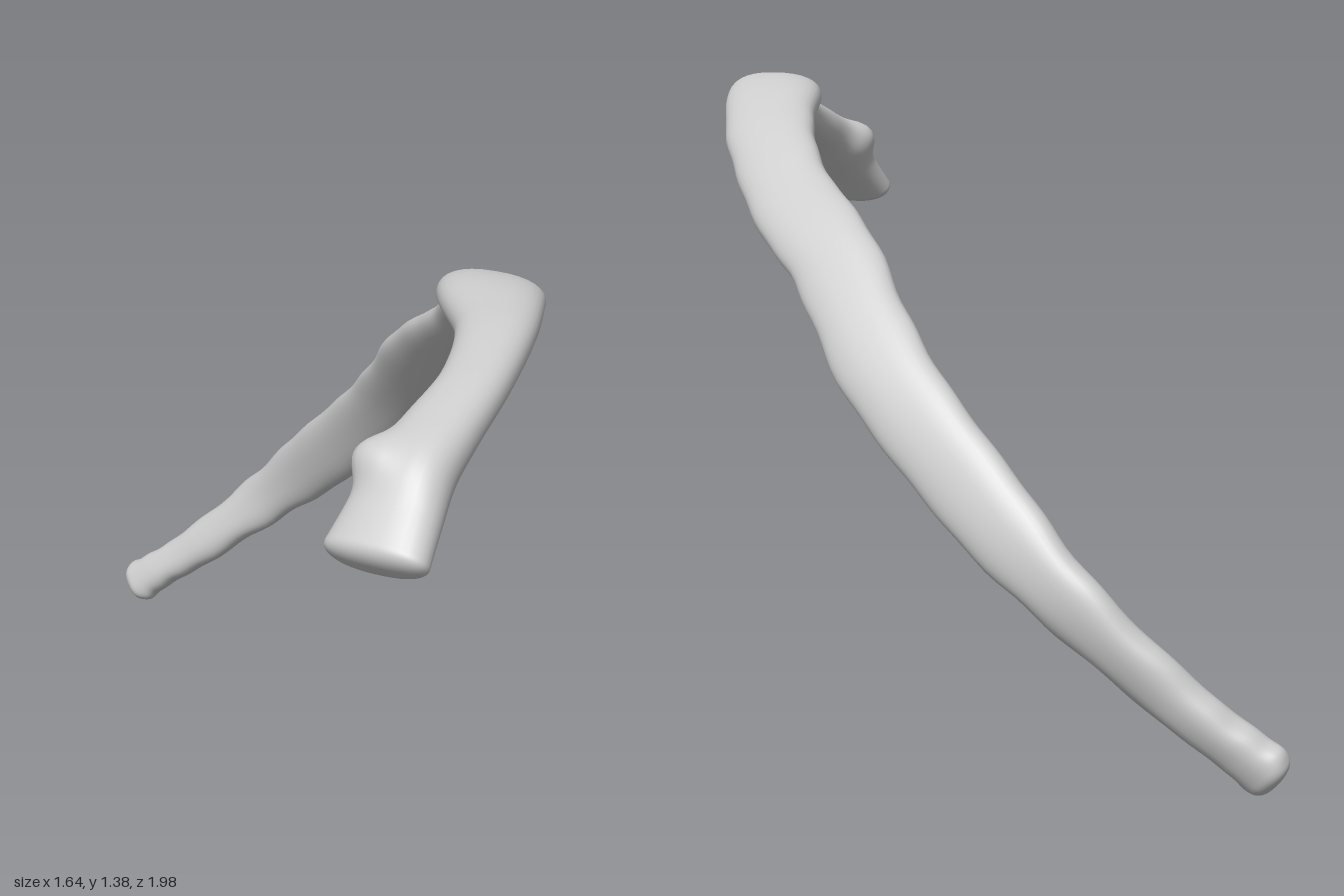
import * as THREE from 'three';

// Stations along the bone: centre x, y, z, then width and thickness
const stations = [
  [-0.81, 1.03, 0.885, 0.235, 0.1],
  [-0.73, 1.108, 0.88, 0.2, 0.115],
  [-0.66, 1.173, 0.872, 0.18, 0.135],
  [-0.56, 1.225, 0.868, 0.16, 0.115],
  [-0.4, 1.283, 0.847, 0.145, 0.1],
  [-0.2, 1.328, 0.77, 0.17, 0.105],
  [0, 1.333, 0.635, 0.235, 0.112],
  [0.2, 1.255, 0.515, 0.21, 0.1],
  [0.36, 1.13, 0.36, 0.205, 0.092],
  [0.49, 1.0, 0.16, 0.205, 0.088],
  [0.64, 0.8, -0.05, 0.2, 0.086],
  [0.728, 0.6, -0.29, 0.19, 0.086],
  [0.767, 0.4, -0.53, 0.15, 0.086],
  [0.715, 0.2, -0.76, 0.118, 0.09],
  [0.678, 0.1, -0.89, 0.115, 0.09],
  [0.657, 0.042, -0.962, 0.125, 0.088],
];

const curveOf = (points) => new THREE.CatmullRomCurve3(points, false, 'catmullrom', 0.5);
const path = curveOf(stations.map((s) => new THREE.Vector3(s[0], s[1], s[2])));
const sizes = curveOf(stations.map((s) => new THREE.Vector3(s[3], s[4], 0)));

const RINGS = 220;
const SIDES = 32;
const power = (v, e) => Math.sign(v) * Math.abs(v) ** e;

// Flat oval section swept along the path, its broad side following the z axis
function sweepBone() {
  const positions = [];
  const indices = [];
  const zAxis = new THREE.Vector3(0, 0, 1);
  const head = path.getPoint(0);
  const tip = path.getPoint(1);
  for (let j = 0; j <= RINGS; j++) {
    const u = 0.5 - 0.5 * Math.cos((Math.PI * j) / RINGS);
    const centre = path.getPoint(u);
    const size = sizes.getPoint(u);
    const tangent = path.getTangent(u);
    const across = zAxis.clone().addScaledVector(tangent, -tangent.z).normalize();
    const outward = across.clone().cross(tangent).normalize();

    // Rounded ends
    const gap = Math.min(centre.distanceTo(head), centre.distanceTo(tip));
    const e = Math.min(1, gap / 0.035);
    const round = (1 - (1 - e) ** 2.5) ** (1 / 2.5);

    for (let i = 0; i < SIDES; i++) {
      const a = (2 * Math.PI * i) / SIDES;
      // Slight unevenness of the shaft, strongest along its edges
      const wave = Math.sin(u * 95 + 2 * Math.sin(u * 31)) * 0.6 + Math.sin(u * 163 + 1) * 0.4;
      const ripple = 0.004 * wave * Math.sin(a) ** 2 * THREE.MathUtils.smoothstep(u, 0.35, 0.5);
      // Small knob on the outer rear side of the neck
      const knob = 0.028 * Math.exp(-(((u - 0.13) / 0.025) ** 2)) * Math.exp(-(((a - 5.3) / 0.7) ** 2));
      const n = power(Math.cos(a), 0.9) * (size.y / 2 + knob) * round;
      const w = power(Math.sin(a), 0.85) * (size.x / 2 + ripple + knob) * round;
      const p = centre.clone().addScaledVector(outward, n).addScaledVector(across, w);
      positions.push(p.x, p.y, p.z);
    }
  }
  for (let j = 0; j < RINGS; j++) {
    for (let i = 0; i < SIDES; i++) {
      const k = (i + 1) % SIDES;
      const a = j * SIDES + i;
      const b = j * SIDES + k;
      indices.push(a, b, a + SIDES, b, b + SIDES, a + SIDES);
    }
  }
  const geometry = new THREE.BufferGeometry();
  geometry.setAttribute('position', new THREE.Float32BufferAttribute(positions, 3));
  geometry.setIndex(indices);
  geometry.computeVertexNormals();
  return geometry;
}

export function createModel() {
  const group = new THREE.Group();
  group.name = 'rib';
  const bone = new THREE.MeshStandardMaterial({ color: 0xcccccc });
  bone.name = 'bone grey';
  const mesh = new THREE.Mesh(sweepBone(), bone);
  mesh.name = 'ribBone';
  group.add(mesh);
  return group;
}
